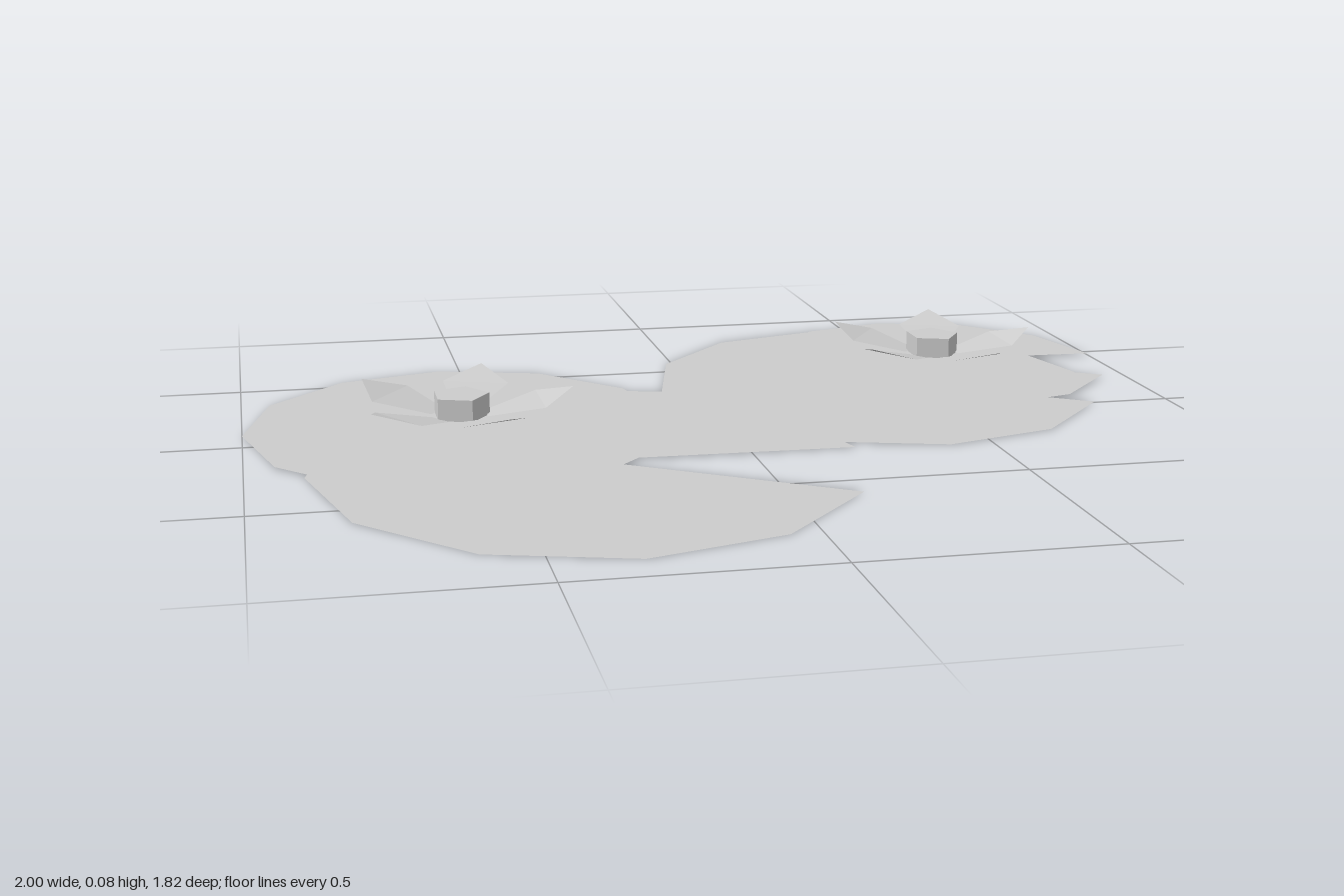
import * as THREE from 'three';

const leafGray = new THREE.MeshStandardMaterial({ color: 0xcccccc, flatShading: true, side: THREE.DoubleSide });
leafGray.name = 'plain gray';

// twelve-sided lily pad with one sector missing and a barely raised middle
function makePad(name, x, y, z, rx, rz) {
  const geo = new THREE.CircleGeometry(1, 11, 0, Math.PI * 11 / 6);
  geo.getAttribute('position').setZ(0, 0.004);
  geo.rotateX(-Math.PI / 2);
  geo.scale(rx, 1, rz);
  geo.computeVertexNormals();
  const pad = new THREE.Mesh(geo, leafGray);
  pad.name = name;
  pad.position.set(x, y, z);
  return pad;
}

// five-cornered petal pointing along +x and rising to its tip
function petalGeometry() {
  const corners = [
    0.055, 0.027, 0.026,
    0.170, 0.052, 0.072,
    0.240, 0.076, 0,
    0.170, 0.052, -0.072,
    0.055, 0.027, -0.026,
  ];
  const geo = new THREE.BufferGeometry();
  geo.setAttribute('position', new THREE.Float32BufferAttribute(corners, 3));
  geo.setIndex([0, 1, 3, 0, 3, 4, 1, 2, 3]);
  geo.computeVertexNormals();
  return geo;
}

// flower with a pentagonal heart and five open petals
function makeFlower(name, x, z) {
  const flower = new THREE.Group();
  flower.name = name;

  const heartGeo = new THREE.CylinderGeometry(0.062, 0.062, 0.046, 5);
  heartGeo.rotateY(Math.PI / 2);
  const heart = new THREE.Mesh(heartGeo, leafGray);
  heart.name = 'flowerHeart';
  heart.position.y = 0.048;
  flower.add(heart);

  const petalGeo = petalGeometry();
  for (let i = 0; i < 5; i++) {
    const petal = new THREE.Mesh(petalGeo, leafGray);
    petal.name = 'petal';
    petal.rotation.y = (i / 5) * Math.PI * 2;
    flower.add(petal);
  }
  flower.scale.z = 1.16;
  flower.position.set(x, 0, z);
  return flower;
}

export function createModel() {
  const model = new THREE.Group();
  model.name = 'lilyPads';

  // overlapping pads, each a little higher than the last
  model.add(
    makePad('frontPad', -0.335, 0, 0.26, 0.55, 0.645),
    makePad('backLeftLargePad', 0.41, 0.001, -0.29, 0.49, 0.575),
    makePad('rightPad', -0.55, 0.004, -0.08, 0.45, 0.52),
    makePad('backLeftSmallPad', 0.605, 0.005, -0.46, 0.392, 0.455),
  );

  // one flower on each of the two upper pads
  model.add(makeFlower('rightFlower', -0.55, -0.08), makeFlower('leftFlower', 0.605, -0.46));
  return model;
}
